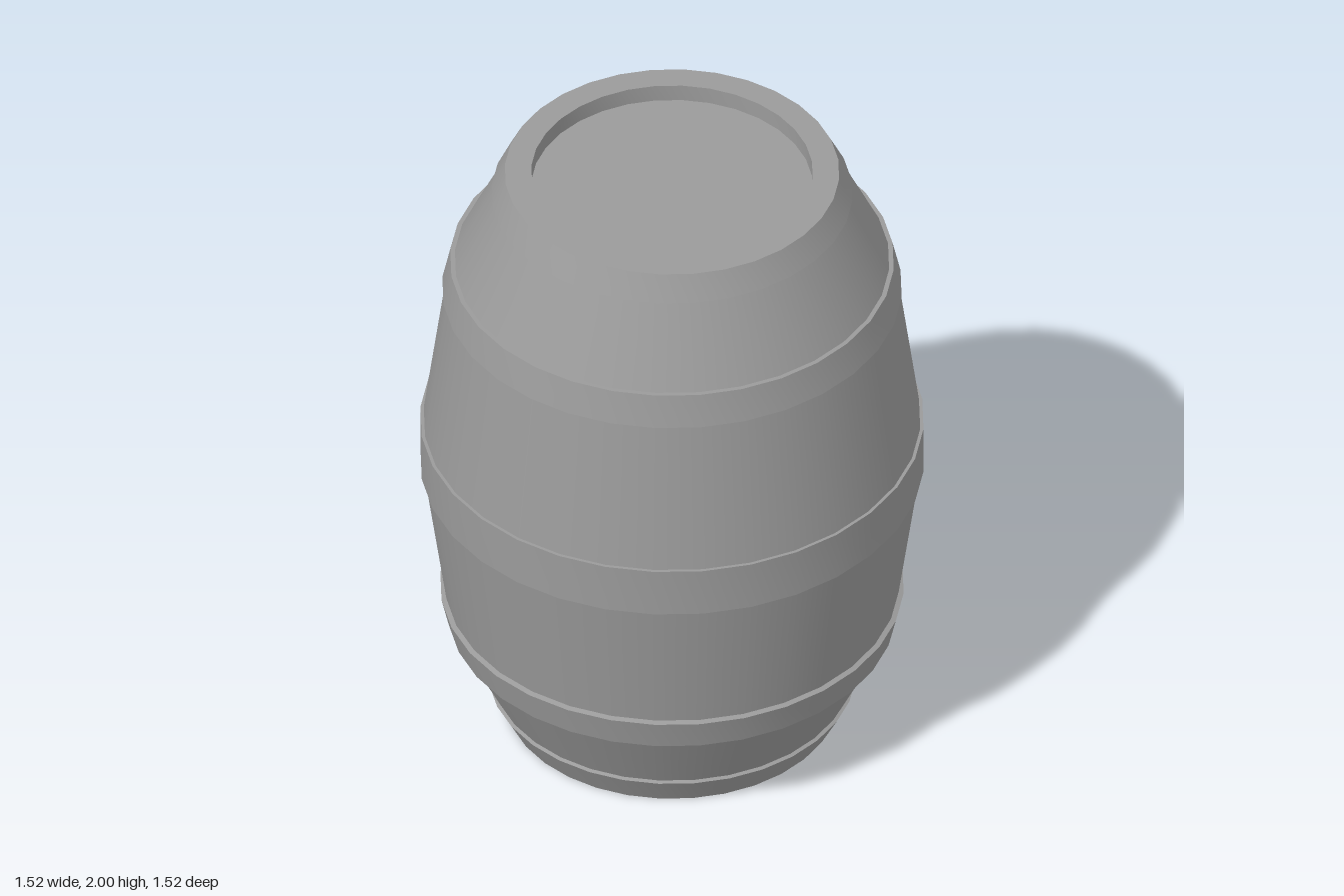
import * as THREE from 'three';
import { mergeGeometries, toCreasedNormals } from 'three/addons/utils/BufferGeometryUtils.js';

const SIDES = 32;
const STEP = (Math.PI * 2) / SIDES;
const CREASE = 0.45;
const HOLE = { y: 0.603, radius: 0.036, x: 0.695, depth: 0.035 };

const material = new THREE.MeshStandardMaterial({ color: 0x9a9a9a });

function lathe(points, start = 0, sides = SIDES) {
  const profile = points.map(([r, y]) => new THREE.Vector2(r, y));
  const geometry = new THREE.LatheGeometry(profile, sides, start, sides * STEP);
  geometry.deleteAttribute('uv');
  return geometry;
}

// Closed band of faces between two rings with the same number of points
function loft(outer, inner) {
  const count = outer.length, index = [];
  for (let a = 0; a < count; a++) {
    const b = (a + 1) % count;
    index.push(a, b, b + count, a, b + count, a + count);
  }
  const geometry = new THREE.BufferGeometry();
  geometry.setAttribute('position', new THREE.Float32BufferAttribute([...outer, ...inner].flat(), 3));
  geometry.setIndex(index);
  geometry.computeVertexNormals();
  return geometry;
}

// Ring around the bung hole, seen from +x
function holeRing(x, count) {
  return Array.from({ length: count }, (_, i) => {
    const a = -0.75 * Math.PI + (i / count) * Math.PI * 2;
    return [x, HOLE.y + Math.sin(a) * HOLE.radius, -Math.cos(a) * HOLE.radius];
  });
}

// Panel two staves wide on +x, lofted from its border to the bung hole
function bungPanel([r0, y0], [r1, y1]) {
  const n = 6, border = [];
  for (let i = 0; i < n * 4; i++) {
    const t = (i % n) / n;
    const [u, v] = [[2 * t - 1, 0], [1, t], [1 - 2 * t, 1], [-1, 1 - t]][Math.floor(i / n)];
    const r = r0 + (r1 - r0) * v;
    border.push([r * (1 - Math.abs(u) * (1 - Math.cos(STEP))), y0 + (y1 - y0) * v, -u * r * Math.sin(STEP)]);
  }
  const panel = loft(border, holeRing(HOLE.x, n * 4));

  // Shade the panel as part of the round wall
  const { position, normal } = panel.attributes;
  const slope = (r0 - r1) / (y1 - y0);
  for (let i = 0; i < position.count; i++) {
    const x = position.getX(i), z = position.getZ(i);
    const dir = new THREE.Vector3(x, slope * Math.hypot(x, z), z).normalize();
    normal.setXYZ(i, dir.x, dir.y, dir.z);
  }
  return panel;
}

export function createModel() {
  const group = new THREE.Group();
  const add = (name, geometry) => {
    const mesh = new THREE.Mesh(geometry, material);
    mesh.name = name;
    group.add(mesh);
  };

  // Stave walls between the hoops, bottom to top: [radius, height]
  add('lowerStaves', lathe([[0.545, 0.1], [0.66, 0.333]]));
  add('upperBellyStaves', lathe([[0.75, 1.062], [0.683, 1.555]]));
  add('upperStaves', lathe([[0.656, 1.665], [0.535, 1.915]]));

  // Lower belly with the panel around the bung hole
  const low = [0.685, 0.437], high = [0.75, 0.9];
  add('lowerBellyStaves', mergeGeometries([
    lathe([low, high], Math.PI / 2 + STEP, SIDES - 2),
    bungPanel(low, high),
  ]));

  // Hoops with their small ledges; the end hoops turn over into the recessed heads
  const hoops = [
    ['bottomHoopAndHead', [
      [0, 0.06], [0.425, 0.06], [0.425, 0], [0.505, 0], [0.555, 0.095], [0.545, 0.1],
    ]],
    ['lowerHoop', [[0.66, 0.333], [0.677, 0.333], [0.7, 0.432], [0.685, 0.437]]],
    ['middleHoop', [[0.75, 0.9], [0.76, 0.9], [0.76, 1.062], [0.75, 1.062]]],
    ['upperHoop', [[0.683, 1.555], [0.694, 1.56], [0.67, 1.665], [0.656, 1.665]]],
    ['topHoopAndHead', [
      [0.535, 1.915], [0.545, 1.92], [0.505, 2], [0.425, 2], [0.425, 1.945], [0, 1.945],
    ]],
  ];
  for (const [name, profile] of hoops) add(name, toCreasedNormals(lathe(profile), CREASE));

  // Bore and bottom of the bung hole
  const back = HOLE.x - HOLE.depth;
  add('bungBore', loft(holeRing(HOLE.x, 24), holeRing(back, 24)));
  const bung = new THREE.CircleGeometry(HOLE.radius, 24, Math.PI / 4);
  bung.rotateY(Math.PI / 2).translate(back, HOLE.y, 0);
  add('bung', bung);

  return group;
}
